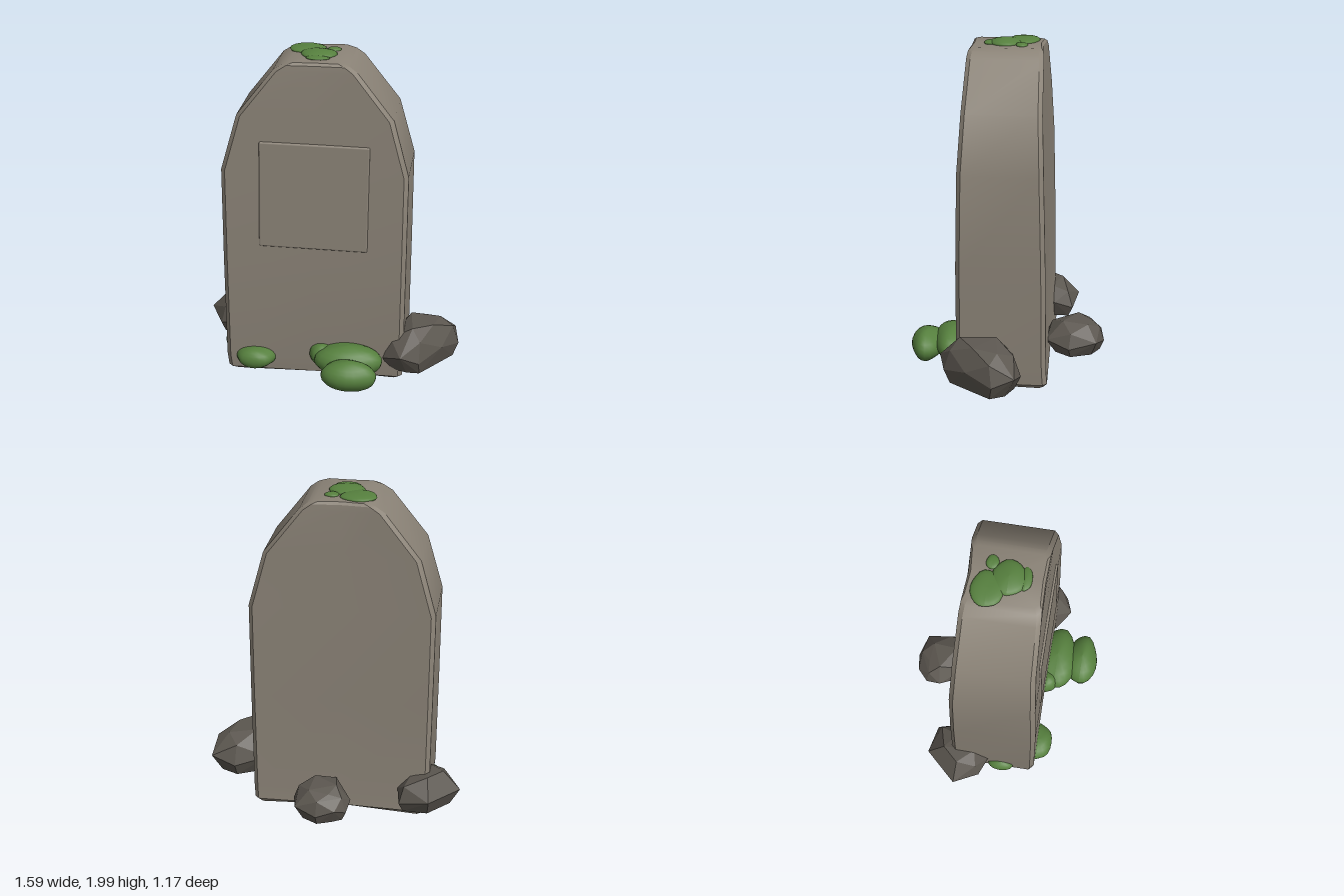
import * as THREE from 'three';
import { toCreasedNormals } from 'three/addons/utils/BufferGeometryUtils.js';
import { ConvexGeometry } from 'three/addons/geometries/ConvexGeometry.js';
import { RoundedBoxGeometry } from 'three/addons/geometries/RoundedBoxGeometry.js';

const material = (name, color) => Object.assign(new THREE.MeshStandardMaterial({ color }), { name });

// Slab lofted from bevelled horizontal sections: [y, left, right, front, back]
function slabGeometry(rows) {
  const pos = [], idx = [], b = 0.025, n = 10;
  rows.forEach(([y, l, r, f, k], row) => {
    const mid = (l + r) / 2;
    const lift = row === 0 ? 0.018 : 0; // the underside arches a little
    [[r, f - b], [r - b, f], [mid, f - 0.005], [l + b, f], [l, f - b],
      [l, k + b], [l + b, k], [mid, k + 0.012], [r - b, k], [r, k + b]]
      .forEach(([x, z]) => pos.push(x, y + (x === mid ? lift : 0) + (z > 0 ? lift * 0.6 : 0), z));
  });
  for (let j = 0; j < rows.length - 1; j++) {
    for (let i = 0; i < n; i++) {
      const a = j * n + i, c = j * n + (i + 1) % n;
      idx.push(a, a + n, c, c, a + n, c + n);
    }
  }
  // Bottom and top caps
  [0, rows.length - 1].forEach((j, top) => {
    const [y, l, r, f, k] = rows[j], centre = pos.length / 3;
    pos.push((l + r) / 2, y + (top ? 0 : 0.02), (f + k) / 2);
    for (let i = 0; i < n; i++) {
      const a = j * n + i, c = j * n + (i + 1) % n;
      idx.push(centre, top ? c : a, top ? a : c);
    }
  });
  const g = new THREE.BufferGeometry();
  g.setAttribute('position', new THREE.Float32BufferAttribute(pos, 3));
  g.setIndex(idx);
  return toCreasedNormals(g, 0.42);
}

// Faceted rock: hull of a plan outline, drawn in towards its top and foot
function rockGeometry(outline, height, foot = 0.085) {
  const cx = outline.reduce((s, p) => s + p[0], 0) / outline.length;
  const cz = outline.reduce((s, p) => s + p[1], 0) / outline.length;
  const points = [];
  outline.forEach(([x, z], i) => {
    const put = (s, y) => points.push(new THREE.Vector3(cx + (x - cx) * s, y, cz + (z - cz) * s));
    put(1, foot + (height - foot) * (i % 2 ? 0.3 : 0.48));
    put(i % 2 ? 0.84 : 0.72, foot);
    if (i % 2) put(0.82, foot + (height - foot) * 0.76);
    else put(0.5, height - 0.012 * (i % 3));
  });
  return new ConvexGeometry(points);
}

// Lumpy moss cushion
function mossGeometry([rx, ry, rz], seed) {
  const g = new THREE.SphereGeometry(1, 20, 12);
  const p = g.attributes.position, v = new THREE.Vector3();
  for (let i = 0; i < p.count; i++) {
    v.fromBufferAttribute(p, i);
    const s = 1 + 0.05 * Math.sin(3 * v.x + seed) * Math.cos(4 * v.z - seed) + 0.03 * Math.sin(5 * v.z + 2 * seed);
    p.setXYZ(i, v.x * rx * s, v.y * ry * s, v.z * rz * s);
  }
  g.computeVertexNormals();
  return g;
}

export function createModel() {
  const model = new THREE.Group();
  const stone = material('stone', 0x8b8377);
  const rock = material('dark rock', 0x5c5750);
  const moss = material('moss', 0x56803e);
  const add = (name, geometry, mat) => {
    const mesh = new THREE.Mesh(geometry, mat);
    mesh.name = name;
    model.add(mesh);
    return mesh;
  };

  // Tapered slab with a faceted arch
  add('slab', slabGeometry([
    [0.006, -0.565, 0.44, 0.245, -0.245],
    [0.035, -0.6, 0.465, 0.265, -0.265],
    [0.12, -0.608, 0.47, 0.272, -0.258],
    [0.75, -0.611, 0.475, 0.27, -0.25],
    [1.32, -0.612, 0.478, 0.257, -0.236],
    [1.65, -0.518, 0.388, 0.24, -0.222],
    [1.92, -0.305, 0.178, 0.23, -0.213],
    [1.955, -0.25, 0.13, 0.225, -0.208],
    [1.97, -0.215, 0.095, 0.21, -0.195],
  ]), stone);

  // Raised blank panel on the front face
  const panel = add('panel', new RoundedBoxGeometry(0.64, 0.645, 0.03, 2, 0.01), stone);
  panel.position.set(-0.068, 1.178, 0.251);
  panel.rotation.set(-0.023, 0, -0.012);

  // Rocks round the foot
  add('leftRock', rockGeometry([[0.42, -0.06], [0.62, -0.125], [0.77, -0.1], [0.795, 0.03],
    [0.7, 0.19], [0.57, 0.33], [0.46, 0.365], [0.35, 0.28]], 0.355), rock);
  add('rightRock', rockGeometry([[-0.62, -0.41], [-0.44, -0.375], [-0.42, -0.26], [-0.5, -0.06],
    [-0.6, -0.02], [-0.71, -0.07], [-0.795, -0.22]], 0.305), rock);
  add('backRock', rockGeometry([[-0.155, -0.42], [-0.14, -0.51], [-0.08, -0.57], [0.03, -0.59],
    [0.16, -0.545], [0.195, -0.38], [0.13, -0.24], [-0.06, -0.23]], 0.28), rock);

  // Moss cushions: name, centre, radii
  [
    ['frontMossLarge', [0.145, 0.165, 0.32], [0.205, 0.095, 0.13]],
    ['frontMossEdge', [-0.02, 0.165, 0.28], [0.075, 0.07, 0.06]],
    ['frontMossSmall', [0.165, 0.148, 0.48], [0.165, 0.092, 0.105]],
    ['frontMossRight', [-0.425, 0.122, 0.28], [0.12, 0.066, 0.085]],
    ['sideMoss', [-0.605, 0.12, 0.06], [0.047, 0.045, 0.08]],
    ['topMossBack', [-0.145, 1.972, -0.08], [0.105, 0.021, 0.09]],
    ['topMossFront', [-0.065, 1.972, 0.025], [0.105, 0.027, 0.095]],
    ['topMossTuft', [0.01, 1.972, -0.075], [0.042, 0.014, 0.035]],
    ['topMossFringe', [-0.06, 1.972, 0.115], [0.07, 0.012, 0.035]],
  ].forEach(([name, centre, radii], i) => {
    add(name, mossGeometry(radii, i * 1.7), moss).position.set(...centre);
  });

  return model;
}
